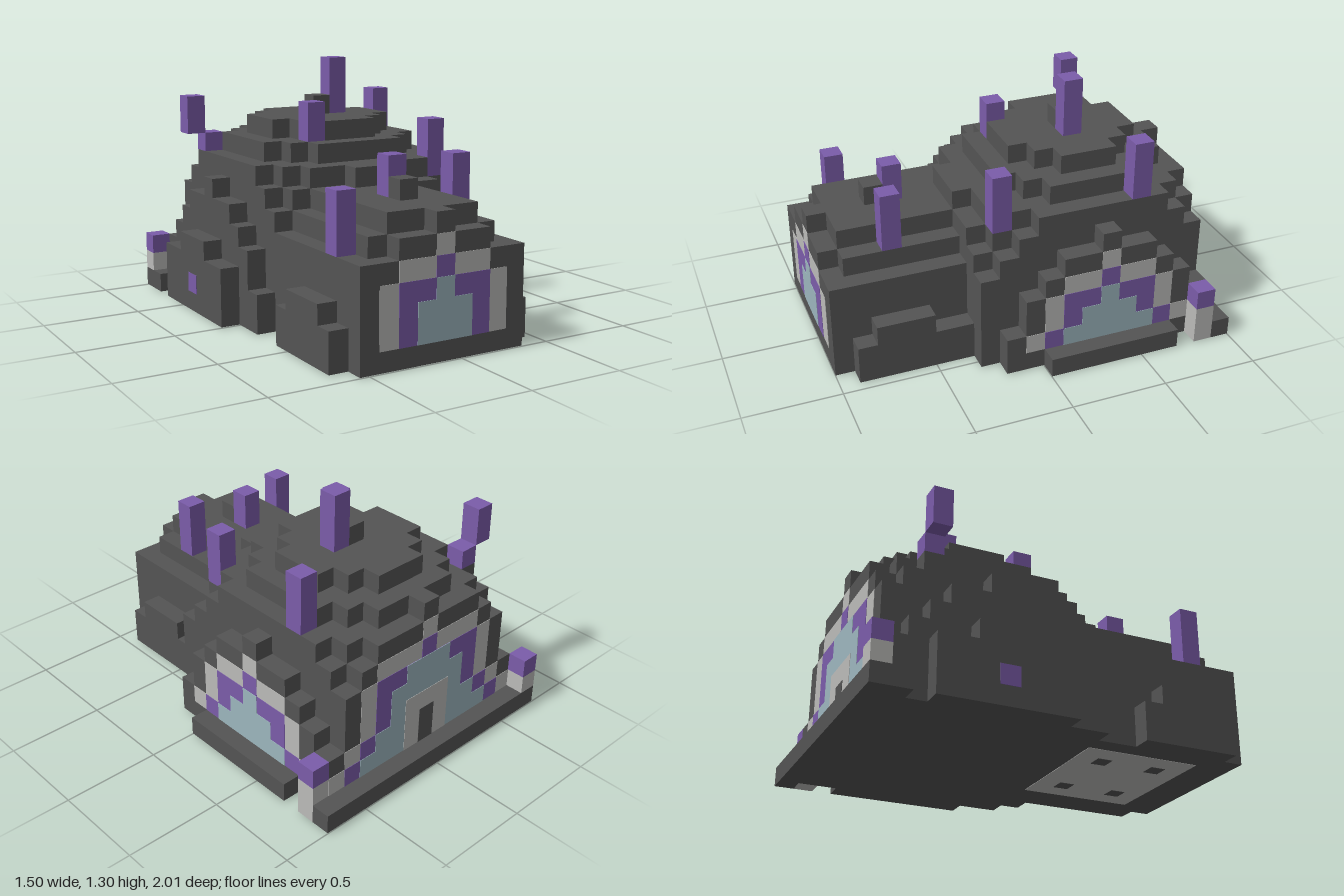
import * as THREE from 'three';

const mat = (name, color) => {
  const m = new THREE.MeshStandardMaterial({ color });
  m.name = name;
  return m;
};

export function createModel() {
  const root = new THREE.Group();
  root.name = 'blockHut';
  const stone = mat('darkStone', 0x545454);
  const purple = mat('purple', 0x7b5caa);
  const pale = mat('paleStone', 0xbbbbb9);
  const glass = mat('paleBlue', 0x9db6be);

  const group = (name, parent = root) => {
    const g = new THREE.Group();
    g.name = name;
    parent.add(g);
    return g;
  };
  // Box given by its limits on each axis
  const box = (parent, name, m, x0, x1, y0, y1, z0, z1) => {
    const mesh = new THREE.Mesh(new THREE.BoxGeometry(x1 - x0, y1 - y0, z1 - z0), m);
    mesh.position.set((x0 + x1) / 2, (y0 + y1) / 2, (z0 + z1) / 2);
    mesh.name = name;
    parent.add(mesh);
    return mesh;
  };
  // Stepped mass: each terrace is [y0, y1, [halfWidth, zBack, zFront], ...]
  const terraces = (name, cx, layers) => {
    const g = group(name);
    for (const [y0, y1, ...slabs] of layers)
      for (const [w, z0, z1] of slabs) box(g, 'terrace', stone, cx - w, cx + w, y0, y1, z0, z1);
  };

  // Main dome
  terraces('mainDome', 0, [
    [0, 0.2, [0.65, -0.9, 0.2], [0.55, -0.9, 0.3]],
    [0.2, 0.3, [0.65, -0.9, 0.1], [0.55, -0.9, 0.3]],
    [0.3, 0.4, [0.65, -0.8, 0.1], [0.55, -0.9, 0.3]],
    [0.4, 0.5, [0.65, -0.7, 0], [0.55, -0.9, 0.3]],
    [0.5, 0.6, [0.65, -0.6, -0.1], [0.55, -0.9, 0.2], [0.45, -0.9, 0.3]],
    [0.6, 0.7, [0.65, -0.4, -0.3], [0.55, -0.8, 0.1], [0.45, -0.9, 0.2], [0.35, -0.9, 0.3]],
    [0.7, 0.8, [0.55, -0.7, 0], [0.45, -0.8, 0.1], [0.35, -0.9, 0.2], [0.15, -0.9, 0.3]],
    [0.8, 0.9, [0.45, -0.6, -0.1], [0.35, -0.7, 0], [0.25, -0.8, 0.1], [0.05, -0.9, 0.1]],
    [0.9, 1.0, [0.35, -0.5, -0.2], [0.25, -0.6, -0.1], [0.15, -0.7, 0]],
    [1.0, 1.1, [0.05, -0.4, -0.3]],
  ]);

  // Front wing, with low steps along both sides
  terraces('frontWing', -0.1, [
    [0, 0.2, [0.55, 0.4, 0.9]],
    [0.2, 0.3, [0.55, 0.5, 0.8]],
    [0, 0.5, [0.45, 0.2, 1]],
    [0.5, 0.6, [0.35, 0.2, 0.9], [0.25, 0.2, 1]],
    [0.6, 0.7, [0.25, 0.2, 0.9], [0.05, 0.2, 1]],
    [0.7, 0.8, [0.05, 0.6, 0.7]],
  ]);
  box(root, 'wingStep', stone, 0.3, 0.45, 0, 0.2, 0.3, 0.4);

  // Ledges and side bump
  box(root, 'backLedge', stone, -0.75, 0.75, 0, 0.1, -1, -0.9);
  box(root, 'ledgeFoot', stone, -0.75, -0.65, 0, 0.1, -0.9, -0.8);
  box(root, 'leftLedge', stone, 0.65, 0.75, 0, 0.1, -0.7, 0);
  const bump = group('rightBump');
  box(bump, 'lowerBump', stone, -0.75, -0.65, 0, 0.3, -0.7, 0);
  box(bump, 'upperBump', stone, -0.75, -0.65, 0.3, 0.4, -0.5, -0.2);
  box(bump, 'bumpMark', purple, -0.753, -0.75, 0.1, 0.2, -0.4, -0.3);

  // Corner stumps
  box(root, 'stumpBase', pale, -0.75, -0.65, 0.1, 0.2, -1, -0.9);
  box(root, 'stumpCap', purple, -0.75, -0.65, 0.2, 0.3, -1, -0.9);
  box(root, 'stumpBase', pale, 0.65, 0.75, 0, 0.2, -0.9, -0.8);
  box(root, 'stumpCap', purple, 0.65, 0.75, 0.2, 0.3, -0.9, -0.8);

  // Purple posts: [x, z, bottom, top] at post centres
  const posts = group('posts');
  for (const [x, z, y0, y1] of [
    [-0.6, -0.65, 0.9, 1.1], [-0.5, -0.65, 0.8, 0.9], [0.5, -0.55, 0.8, 1.1],
    [0.1, -0.35, 1.0, 1.3], [-0.2, -0.05, 0.9, 1.1], [0.4, 0.15, 0.7, 1.0],
    [-0.1, 0.55, 0.7, 0.9], [0.2, 0.65, 0.6, 0.9], [-0.5, 0.75, 0.5, 0.8],
  ]) box(posts, 'post', purple, x - 0.05, x + 0.05, y0, y1, z - 0.05, z + 0.05);

  // Stepped arch of thin plates: [y0, y1, pale, purple, blue widths in blocks]
  const arch = (name, x, z, turn, rows) => {
    const g = group(name);
    g.position.set(x, 0, z);
    g.rotation.y = turn;
    for (const [y0, y1, ...widths] of rows)
      widths.forEach((n, i) => {
        if (n) box(g, ['archBorder', 'archBand', 'archPane'][i], [pale, purple, glass][i],
          -n / 20, n / 20, y0, y1, 0, 0.002 * (i + 1));
      });
    return g;
  };
  arch('frontArch', -0.1, 1, 0, [
    [0.1, 0.3, 7, 5, 3], [0.3, 0.4, 7, 5, 1], [0.4, 0.5, 5, 1, 0], [0.5, 0.6, 1, 0, 0],
  ]);
  arch('leftArch', 0.65, -0.35, Math.PI / 2, [
    [0.1, 0.2, 9, 7, 5], [0.2, 0.3, 7, 5, 3], [0.3, 0.4, 7, 5, 1],
    [0.4, 0.5, 5, 1, 0], [0.5, 0.6, 1, 0, 0],
  ]);
  const back = arch('backArch', 0, -0.9, Math.PI, [
    [0.1, 0.2, 13, 11, 9], [0.2, 0.3, 11, 9, 7], [0.3, 0.5, 9, 7, 5],
    [0.5, 0.6, 9, 7, 3], [0.6, 0.7, 7, 1, 0], [0.7, 0.8, 1, 0, 0],
  ]);
  box(back, 'doorFrame', pale, -0.15, 0.15, 0.1, 0.4, 0, 0.008);
  box(back, 'doorway', stone, -0.05, 0.05, 0.1, 0.3, 0, 0.0095);

  // Pale floor panel underneath with four dark squares
  box(root, 'floorPanel', pale, -0.45, 0.25, -0.002, 0, 0.2, 0.8);
  for (const x of [-0.3, 0.1])
    for (const z of [0.35, 0.65])
      box(root, 'floorSquare', stone, x - 0.04, x + 0.04, -0.004, 0, z - 0.04, z + 0.04);

  return root;
}
